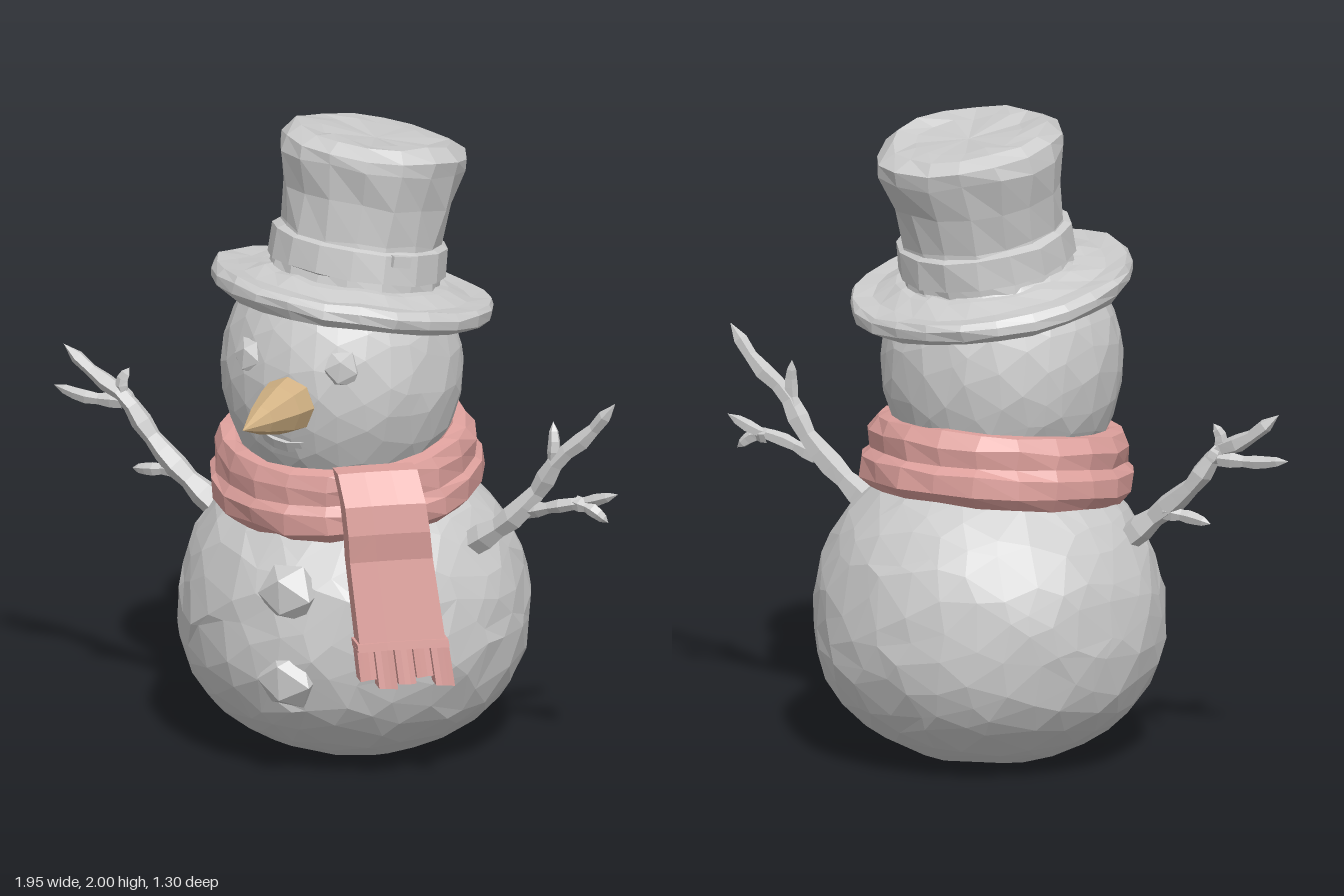
import * as THREE from 'three';

const paint = (color) => new THREE.MeshStandardMaterial({ color, flatShading: true });
const GREY = paint(0xcccccc);
const RED = paint(0xdda09c);
const ORANGE = paint(0xd2b284);

// Repeatable noise in -1..1 keyed on position, so coincident vertices move together
function noise(v, seed) {
  const q = (n) => Math.round(n * 500) + 0;
  const s = Math.sin(q(v.x) * 12.99 + q(v.y) * 78.23 + q(v.z) * 37.72 + seed * 11.3) * 43758.5453;
  return (s - Math.floor(s)) * 2 - 1;
}

// Apply a rule to every vertex, then refresh the normals
function reshape(geometry, rule) {
  const pos = geometry.attributes.position;
  const v = new THREE.Vector3();
  for (let i = 0; i < pos.count; i++) {
    v.fromBufferAttribute(pos, i);
    rule(v, i);
    pos.setXYZ(i, v.x, v.y, v.z);
  }
  geometry.computeVertexNormals();
  return geometry;
}

// Roughen a surface for a hand-cut look
const rough = (geometry, amount) => reshape(geometry, (v) => {
  const d = [1, 2, 3].map((s) => noise(v, s) * amount);
  if (Math.hypot(v.x, v.z) > 1e-4) v.set(v.x + d[0], v.y + d[1], v.z + d[2]);
});

function add(parent, name, geometry, material, x = 0, y = 0, z = 0) {
  const mesh = new THREE.Mesh(geometry, material);
  mesh.name = name;
  mesh.position.set(x, y, z);
  parent.add(mesh);
  return mesh;
}

const lathe = (points, sides, amount = 0) =>
  rough(new THREE.LatheGeometry(points.map((p) => new THREE.Vector2(...p)), sides), amount);

// Faceted snowball with a fuller lower half
function snowball(rx, ry, detail, fullness, jitter) {
  return reshape(new THREE.IcosahedronGeometry(1, detail), (v) => {
    const d = [1, 2, 3].map((s) => noise(v, s) * jitter);
    v.set(v.x + d[0], v.y + d[1], v.z + d[2]).normalize();
    const k = rx * (1 + Math.max(0, -v.y) * fullness) * (1 + d[0] * 0.15);
    v.set(v.x * k, v.y * ry, v.z * k);
  });
}

// Tapered twig through a few x, y points
function twig(points, r0, r1) {
  const curve = new THREE.CatmullRomCurve3(points.map(([x, y], i) =>
    new THREE.Vector3(x, y, -0.045 + (i % 2) * 0.012)));
  const rings = points.length * 2;
  const sides = 5;
  const geometry = new THREE.TubeGeometry(curve, rings, 1, sides);
  return reshape(geometry, (v, i) => {
    const ring = Math.floor(i / (sides + 1));
    const c = curve.getPointAt(ring / rings);
    const r = ring === rings ? 0 : THREE.MathUtils.lerp(r0, r1, ring / rings);
    v.sub(c).multiplyScalar(r * (1 + 0.15 * Math.sin(ring * 2.3))).add(c);
  });
}

function addFace(model) {
  for (const x of [-0.14, 0.17]) {
    const eye = add(model, 'eye', rough(new THREE.IcosahedronGeometry(0.065, 0), 0.008), GREY, x, 1.31, 0.27);
    eye.scale.z = 0.6;
    eye.rotation.y = x * 2;
  }
  // Carrot nose
  const nose = add(model, 'nose',
    lathe([[0, -0.03], [0.07, 0], [0.09, 0.05], [0.078, 0.12], [0.045, 0.24], [0, 0.36]], 8),
    ORANGE, 0.015, 1.195, 0.275);
  nose.rotation.x = Math.PI / 2;
  // Smiling lip that follows the curve of the head
  const smile = [];
  for (let i = -4; i <= 4; i++) {
    const x = i * 0.052;
    smile.push(new THREE.Vector3(x, 1.06 + 2.6 * x * x, Math.sqrt(0.335 ** 2 - x * x) - 0.055));
  }
  const n = 12;
  const curve = new THREE.CatmullRomCurve3(smile);
  const lip = reshape(new THREE.TubeGeometry(curve, n, 0.032, 5), (v, i) => {
    const t = Math.floor(i / 6) / n;
    const c = curve.getPointAt(t);
    v.sub(c).multiplyScalar(Math.sin(Math.PI * t)).add(c);
  });
  add(model, 'mouth', lip, GREY);
}

function addHat(model) {
  const hat = new THREE.Group();
  hat.name = 'hat';
  hat.position.set(0.04, 1.465, -0.06);
  hat.rotation.set(-0.15, 0, -0.09);
  model.add(hat);
  add(hat, 'brim', lathe([[0, -0.02], [0.34, -0.035], [0.41, -0.045], [0.44, -0.02], [0.443, 0.01],
    [0.425, 0.03], [0.36, 0.025], [0.29, 0.05], [0.2, 0.06]], 24, 0.006), GREY);
  add(hat, 'crown', lathe([[0.27, 0.03], [0.26, 0.1], [0.25, 0.19], [0.265, 0.31], [0.292, 0.42],
    [0.29, 0.465], [0.24, 0.5], [0.17, 0.49], [0, 0.48]], 16, 0.009), GREY);
  add(hat, 'hatBand', lathe([[0.24, 0.07], [0.277, 0.08], [0.272, 0.17], [0.24, 0.185]], 16, 0.004), GREY);
  const buckle = add(hat, 'bandPin', new THREE.BoxGeometry(0.06, 0.035, 0.03), GREY, 0.22, 0.155, 0.155);
  buckle.rotation.y = 0.95;
}

function addScarf(model) {
  const wrap = add(model, 'scarfWrap', lathe([[0.3, -0.1], [0.385, -0.11], [0.42, -0.07], [0.425, -0.01],
    [0.4, 0.015], [0.405, 0.07], [0.385, 0.115], [0.34, 0.12], [0.28, 0.07]], 20, 0.007),
  RED, 0.02, 0.915, -0.06);
  wrap.rotation.x = 0.14;

  // Hanging end: local x runs across it and local z points away from the body
  const tail = new THREE.Group();
  tail.name = 'scarfTail';
  tail.position.set(0.3, 1.01, 0.285);
  tail.rotation.y = 0.69;
  model.add(tail);
  const lean = (v) => {
    const t = -v.y / 0.64;
    v.x = v.x * (1 + 0.1 * t) + 0.064 * t;
    v.z += 0.11 * t + 0.03 * Math.sin(Math.PI * Math.min(1, t * 2.5));
  };
  const strip = (w, h, d, y, x = 0) => {
    const g = new THREE.BoxGeometry(w, h, d, 3, Math.max(1, Math.round(h / 0.09)), 1);
    g.translate(x, y, 0);
    return reshape(g, (v) => {
      v.z += 0.012 * Math.cos(v.x * 40);
      if (v.y > -0.02) v.z -= 0.03;
      lean(v);
    });
  };
  add(tail, 'scarfStrip', strip(0.25, 0.53, 0.075, -0.265), RED);
  add(tail, 'scarfSeam', strip(0.265, 0.025, 0.088, -0.525), RED);
  // Ragged fringe
  for (let i = 0; i < 5; i++) {
    const h = 0.1 + 0.015 * ((i * 2) % 3);
    add(tail, 'fringe', strip(0.05, h, 0.06, -0.53 - h / 2, (i - 2) * 0.054), RED);
  }
}

export function createModel() {
  const model = new THREE.Group();
  model.name = 'snowman';

  const body = snowball(0.54, 0.49, 5, 0.12, 0.07);
  reshape(body, (v) => { v.y = Math.max(v.y, -0.465); });
  add(model, 'body', body, GREY, 0.02, 0.47, -0.115);
  add(model, 'head', snowball(0.373, 0.42, 4, 0, 0.06), GREY, 0.015, 1.22, -0.04);
  addFace(model);

  // Coal buttons
  for (const [y, z] of [[0.61, 0.385], [0.335, 0.39]]) {
    const button = add(model, 'button', rough(new THREE.IcosahedronGeometry(0.1, 0), 0.008), GREY, 0.05, y, z);
    button.scale.z = 0.75;
  }

  // Arms: main branch first, then side twigs
  const arms = {
    rightArm: [
      [[-0.42, 0.71], [-0.56, 0.83], [-0.65, 0.91], [-0.73, 1.02], [-0.83, 1.07], [-0.94, 1.16]],
      [[-0.74, 1.0], [-0.86, 1.0], [-0.98, 1.02]],
      [[-0.72, 1.0], [-0.74, 1.06], [-0.72, 1.11]],
      [[-0.55, 0.81], [-0.63, 0.8], [-0.71, 0.79]],
    ],
    leftArm: [
      [[0.46, 0.71], [0.6, 0.81], [0.69, 0.91], [0.77, 1.03], [0.86, 1.11], [0.96, 1.23]],
      [[0.73, 0.96], [0.75, 1.06], [0.74, 1.14]],
      [[0.65, 0.84], [0.78, 0.88], [0.86, 0.9], [0.97, 0.94]],
      [[0.82, 0.89], [0.88, 0.88], [0.93, 0.84]],
    ],
  };
  for (const [name, branches] of Object.entries(arms)) {
    const arm = new THREE.Group();
    arm.name = name;
    branches.forEach((points, i) =>
      add(arm, i ? 'twig' : 'branch', twig(points, i ? 0.024 : 0.042, i ? 0.016 : 0.02), GREY));
    model.add(arm);
  }

  addHat(model);
  addScarf(model);
  return model;
}
